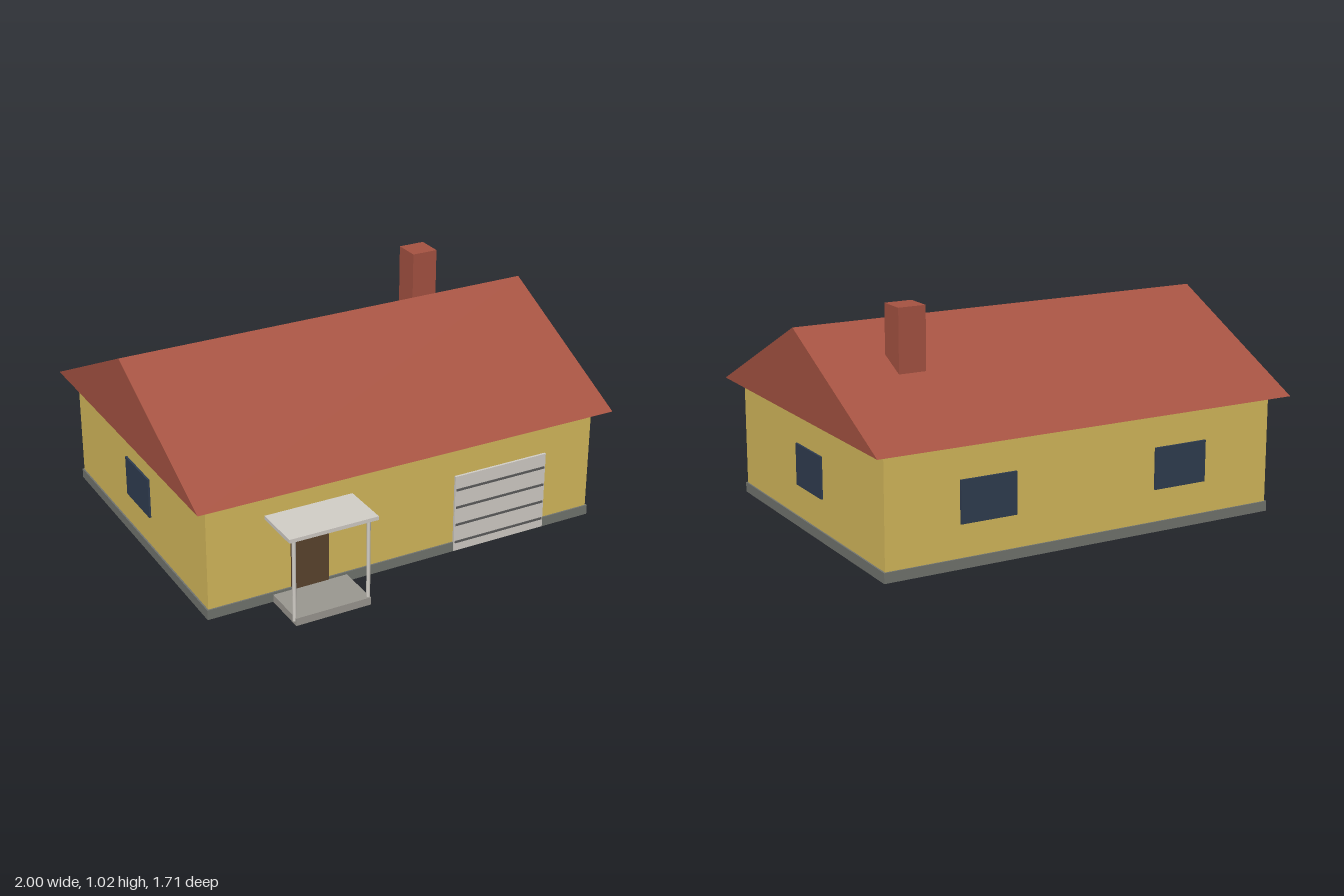
import * as THREE from 'three';

const mat = (name, color) => {
  const m = new THREE.MeshStandardMaterial({ color });
  m.name = name;
  return m;
};

export function createModel() {
  const house = new THREE.Group();
  house.name = 'house';

  const wall = mat('yellow wall', 0xd6ba5c);
  const roofRed = mat('roof red', 0xa65342);
  const stone = mat('plinth grey', 0x72756f);
  const glass = mat('dark blue glass', 0x303d51);
  const doorBrown = mat('door brown', 0x5b452e);
  const pale = mat('pale grey', 0xd3cfc8);
  const stepGrey = mat('step grey', 0x9b9891);
  const seam = mat('seam grey', 0x5c5c5c);

  // Adds a box given by its extents on each axis
  const box = (name, material, [x0, x1], [y0, y1], [z0, z1], parent = house) => {
    const mesh = new THREE.Mesh(new THREE.BoxGeometry(x1 - x0, y1 - y0, z1 - z0), material);
    mesh.position.set((x0 + x1) / 2, (y0 + y1) / 2, (z0 + z1) / 2);
    mesh.name = name;
    parent.add(mesh);
    return mesh;
  };

  // Body and plinth
  box('walls', wall, [-0.938, 0.938], [0, 0.535], [-0.775, 0.633]);
  box('plinth', stone, [-0.945, 0.945], [0.001, 0.046], [-0.782, 0.64]);

  // Gable roof: triangular section (drawn in z, y) extruded along x
  const gable = new THREE.Shape();
  gable.moveTo(-0.705, 0.533);
  gable.lineTo(0.85, 0.533);
  gable.lineTo(0.0725, 0.906);
  gable.closePath();
  const roofGeo = new THREE.ExtrudeGeometry(gable, { depth: 2, bevelEnabled: false });
  roofGeo.translate(0, 0, -1);
  roofGeo.rotateY(Math.PI / 2);
  const roof = new THREE.Mesh(roofGeo, roofRed);
  roof.name = 'roof';
  house.add(roof);

  box('chimney', roofRed, [0.56, 0.685], [0.68, 1.017], [-0.418, -0.293]);

  // Side and back windows
  const windowY = [0.19, 0.375];
  for (const s of [-1, 1]) {
    const face = [s * 0.938, s * 0.947].sort((a, b) => a - b);
    box('sideWindow', glass, face, windowY, [-0.2, 0.052]);
    box('backWindow', glass, [s * 0.47 - 0.13, s * 0.47 + 0.13], windowY, [-0.784, -0.775]);
  }

  // Front door
  box('frontDoor', doorBrown, [-0.558, -0.383], [0.035, 0.358], [0.633, 0.642]);

  // Garage door with dark seams
  const garage = new THREE.Group();
  garage.name = 'garageDoor';
  house.add(garage);
  box('garagePanel', pale, [0.233, 0.698], [0.004, 0.37], [0.633, 0.644], garage);
  for (let i = 0; i < 4; i++) {
    const y = 0.048 + i * 0.0855;
    box('garageSeam', seam, [0.238, 0.692], [y - 0.005, y + 0.005], [0.642, 0.648], garage);
  }

  // Porch: step, canopy and two posts
  const porch = new THREE.Group();
  porch.name = 'porch';
  house.add(porch);
  box('porchStep', stepGrey, [-0.645, -0.297], [0, 0.035], [0.633, 0.85], porch);
  box('canopy', pale, [-0.675, -0.267], [0.398, 0.415], [0.633, 0.857], porch);
  for (const x of [-0.645, -0.302]) {
    const post = new THREE.Mesh(new THREE.CylinderGeometry(0.0085, 0.0085, 0.381, 10), pale);
    post.position.set(x, 0.2095, 0.835);
    post.name = 'porchPost';
    porch.add(post);
  }

  return house;
}
